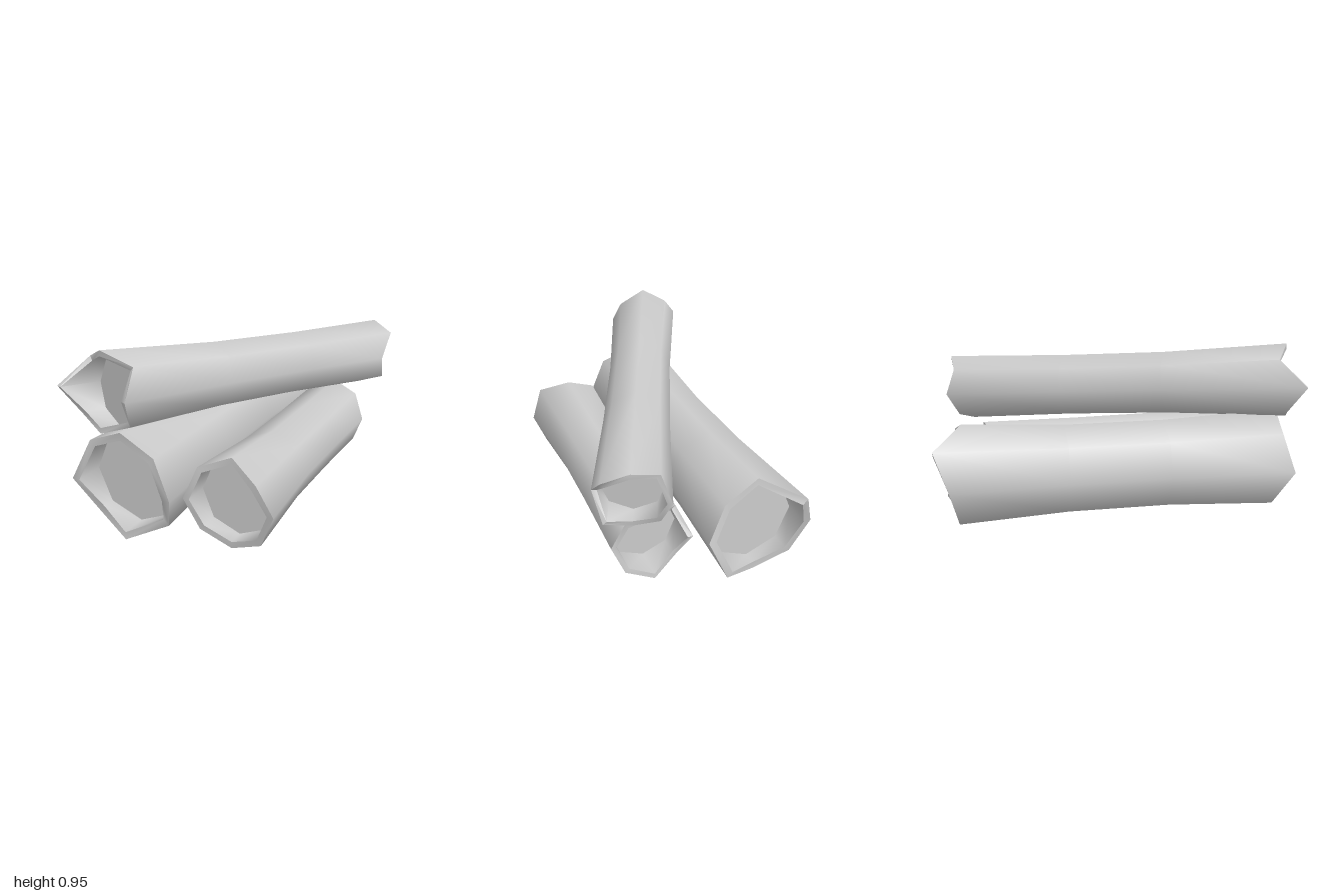
import * as THREE from 'three';
import { toCreasedNormals } from 'three/addons/utils/BufferGeometryUtils.js';

const SIDES = 8;
const INNER = 0.86;   // bark thickness as a share of the radius
const RECESS = 0.14;  // depth of the sawn face behind the ragged rim

// front/back: end centres; rF/rB: end radii; waist: radius of the middle rings;
// ragF/ragB: how far each bark corner sticks out past its end, counter-clockwise from the right side
const LOGS = [
  {
    name: 'largeLog', front: [-0.62, 0.29, 0.74], back: [0.24, 0.29, -0.84], rF: 0.28, rB: 0.28, waist: 0.25,
    ragF: [0.04, 0.03, 0, -0.03, 0.02, -0.07, 0, -0.08],
    ragB: [-0.02, -0.03, -0.07, 0.075, 0, -0.04, -0.07, 0.03],
  },
  {
    name: 'mediumLog', front: [-0.13, 0.24, 0.88], back: [0.57, 0.22, -0.41], rF: 0.235, rB: 0.21, waist: 0.203,
    ragF: [0, 0.045, -0.05, -0.02, 0, -0.04, -0.05, -0.02],
    ragB: [-0.03, 0, 0.03, -0.06, 0.03, -0.04, 0.03, 0],
  },
  {
    name: 'topLog', front: [-0.73, 0.76, 0.73], back: [0.78, 0.61, -0.46], rF: 0.2, rB: 0.19, waist: 0.175,
    ragF: [-0.04, -0.12, -0.03, -0.065, 0.075, -0.03, -0.04, -0.11],
    ragB: [-0.08, 0.05, 0.05, -0.02, 0.02, -0.02, -0.05, 0.01],
  },
];

function logGeometry({ front, back, rF, rB, waist, ragF, ragB }) {
  const F = new THREE.Vector3(...front);
  const B = new THREE.Vector3(...back);
  const length = F.distanceTo(B);
  const axis = B.clone().sub(F).normalize();
  const out = axis.clone().negate();
  const right = new THREE.Vector3(0, 1, 0).cross(out).normalize();
  const up = out.clone().cross(right);

  // One ring of corners at a distance along the axis, optionally ragged
  const ring = (along, radius, rag = null, sign = 0) =>
    Array.from({ length: SIDES }, (_, k) => {
      const a = (k / SIDES) * Math.PI * 2;
      return F.clone()
        .addScaledVector(axis, along + (rag ? sign * rag[k] : 0))
        .addScaledVector(right, Math.cos(a) * radius)
        .addScaledVector(up, Math.sin(a) * radius);
    });

  const rings = [
    ring(RECESS, 0),                            // front sawn face
    ring(RECESS, rF * INNER),
    ring(0, rF * INNER, ragF, -1),              // front bark rim
    ring(0, rF, ragF, -1),
    ring(length * 0.36, waist),                 // bark, slimmer in the middle
    ring(length * 0.66, waist),
    ring(length, rB, ragB, 1),                  // back bark rim
    ring(length, rB * INNER, ragB, 1),
    ring(length - RECESS, rB * INNER),          // back sawn face
    ring(length - RECESS, 0),
  ];

  const pos = [];
  const tri = (...pts) => pts.forEach((p) => pos.push(p.x, p.y, p.z));
  for (let i = 0; i < rings.length - 1; i++) {
    for (let k = 0; k < SIDES; k++) {
      const n = (k + 1) % SIDES;
      const a = rings[i][k], b = rings[i][n], c = rings[i + 1][n], d = rings[i + 1][k];
      if (i > 0) tri(a, d, b);
      if (i < rings.length - 2) tri(b, d, c);
    }
  }
  const geo = new THREE.BufferGeometry();
  geo.setAttribute('position', new THREE.Float32BufferAttribute(pos, 3));
  return toCreasedNormals(geo, THREE.MathUtils.degToRad(58));
}

export function createModel() {
  const group = new THREE.Group();
  group.name = 'logPile';
  const material = new THREE.MeshStandardMaterial({ color: 0xcccccc });
  for (const log of LOGS) {
    const mesh = new THREE.Mesh(logGeometry(log), material);
    mesh.name = log.name;
    group.add(mesh);
  }
  return group;
}
